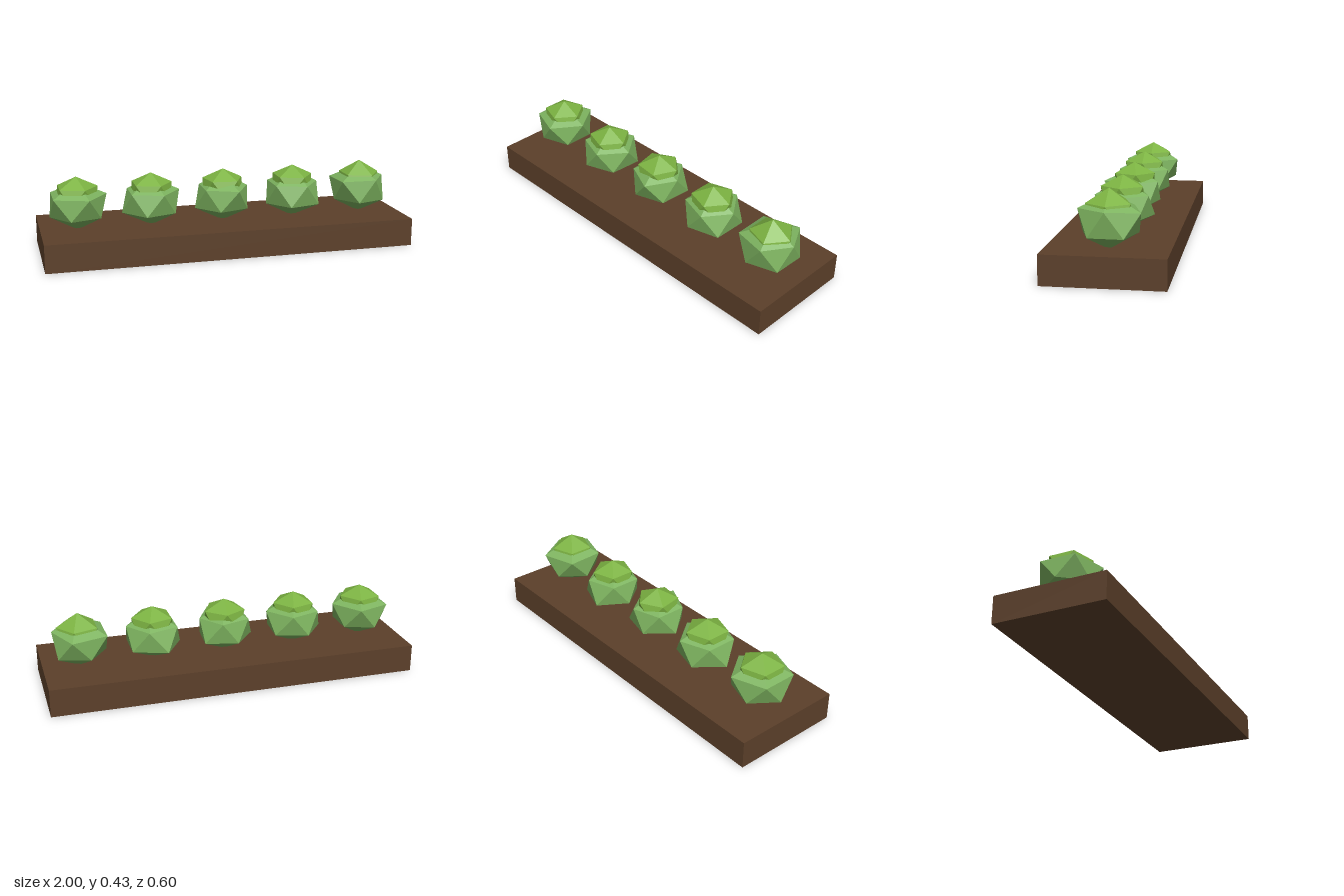
import * as THREE from 'three';

const STEP = Math.PI * 2 / 5;

// Irregular icosahedron: top point, two staggered rings of five, bottom point
function headGeometry({ top, upperY, lowerY, bottom, upper, lower, turn = 0 }) {
  const pts = [0, top, 0];
  const ring = (radii, ys, offset) => radii.forEach((r, i) => {
    const a = turn + offset + i * STEP;
    pts.push(r * Math.cos(a), ys[i] ?? ys[0], -r * Math.sin(a));
  });
  ring(upper, upperY, 0);
  ring(lower, lowerY, STEP / 2);
  pts.push(0, bottom, 0);
  const idx = [];
  for (let i = 0; i < 5; i++) {
    const j = (i + 1) % 5;
    const u = 1 + i, v = 1 + j, l = 6 + i, m = 6 + j;
    idx.push(0, u, v, u, l, v, v, l, m, 11, m, l);
  }
  const indexed = new THREE.BufferGeometry();
  indexed.setAttribute('position', new THREE.Float32BufferAttribute(pts, 3));
  indexed.setIndex(idx);
  const g = indexed.toNonIndexed();
  g.computeVertexNormals();
  return g;
}

export function createModel() {
  const model = new THREE.Group();
  const material = color => new THREE.MeshStandardMaterial({ color, flatShading: true });
  const leafMat = material(0x7db35f);
  const heartMat = material(0x7cb342);

  // Soil bed
  const bed = new THREE.Mesh(new THREE.BoxGeometry(2, 0.15, 0.6), material(0x5c402a));
  bed.name = 'soilBed';
  bed.position.y = 0.075;
  model.add(bed);

  // Ring radii of each plant, counter-clockwise from +x
  const plants = [
    { upper: [0.16, 0.165, 0.16, 0.16, 0.165], lower: [0.145, 0.145, 0.145, 0.145, 0.145] },
    { upper: [0.155, 0.15, 0.145, 0.145, 0.15], lower: [0.16, 0.15, 0.16, 0.15, 0.145] },
    { upper: [0.138, 0.14, 0.142, 0.142, 0.168], lower: [0.162, 0.145, 0.157, 0.145, 0.145] },
    { upper: [0.145, 0.145, 0.145, 0.145, 0.145], lower: [0.16, 0.167, 0.15, 0.147, 0.158] },
    { upper: [0.14, 0.168, 0.172, 0.165, 0.15], lower: [0.15, 0.145, 0.145, 0.145, 0.145],
      upperY: [0.34, 0.325, 0.325, 0.33, 0.34], top: 0.408, heartY: 0.362, heartTop: 0.432 },
  ];

  plants.forEach((p, i) => {
    const plant = new THREE.Group();
    plant.name = `cabbage${i + 1}`;
    plant.position.x = -0.8 + i * 0.4;

    // Outer leaves
    const leaves = new THREE.Mesh(headGeometry({
      top: p.top ?? 0.4, upperY: p.upperY ?? [0.327], lowerY: [0.213], bottom: 0.137,
      upper: p.upper, lower: p.lower,
    }), leafMat);
    leaves.name = 'outerLeaves';

    // Smaller heart emerging from the top
    const heart = new THREE.Mesh(headGeometry({
      top: p.heartTop ?? 0.426, upperY: [p.heartY ?? 0.371], lowerY: [0.282], bottom: 0.227,
      upper: Array(5).fill(0.114), lower: Array(5).fill(0.114), turn: i === 2 ? 0.2 : 0,
    }), heartMat);
    heart.name = 'heart';

    plant.add(leaves, heart);
    model.add(plant);
  });

  return model;
}
